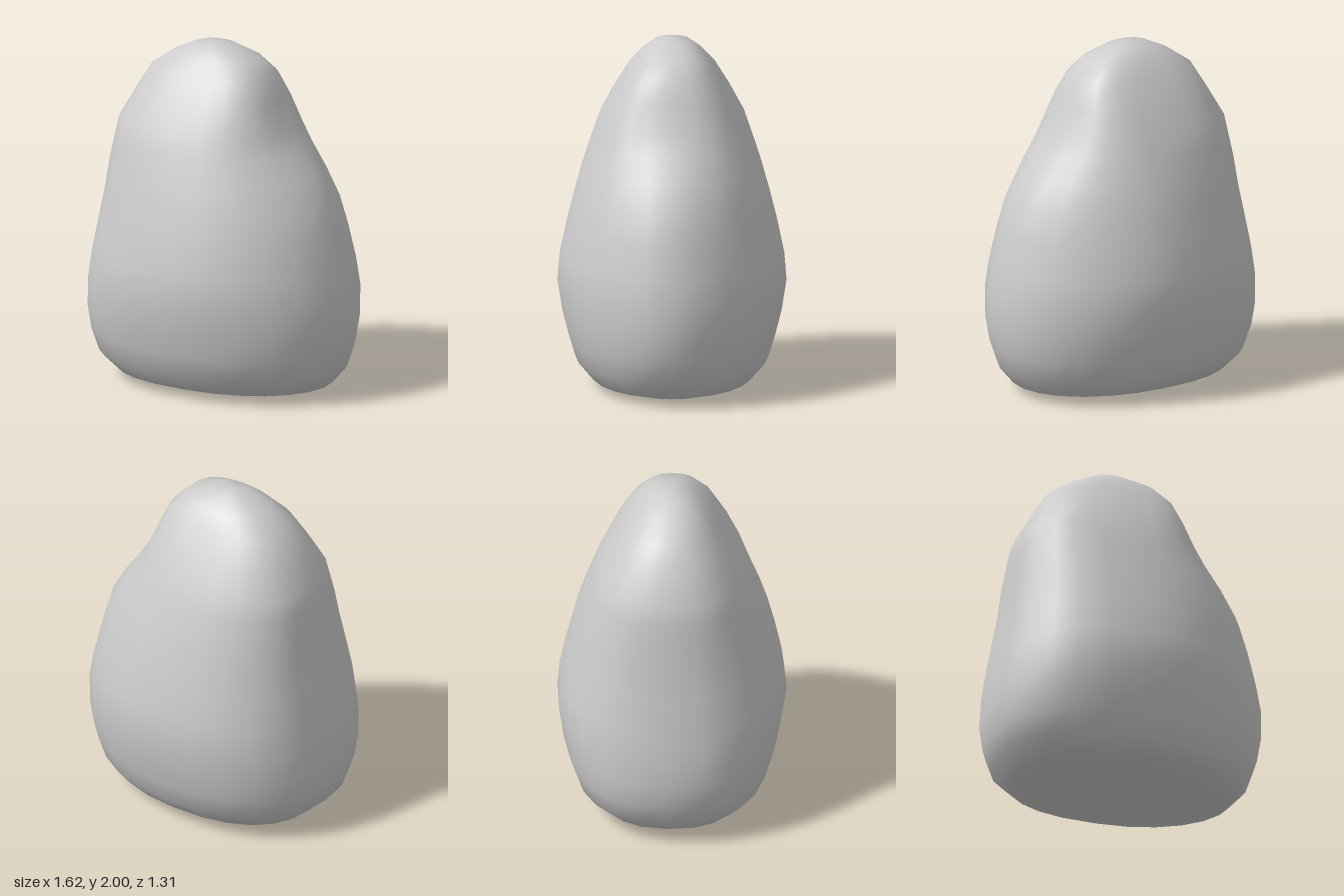
import * as THREE from 'three';

// Cross-sections from base to crown: y, left-most x, right-most x, half depth, roundness at -x, roundness at +x
const SECTIONS = [
  [0.005, -0.30, 0.33, 0.18, 2.4, 2.2],
  [0.015, -0.47, 0.52, 0.29, 2.4, 2.2],
  [0.05, -0.65, 0.65, 0.46, 2.4, 2.1],
  [0.15, -0.755, 0.74, 0.55, 2.4, 2.0],
  [0.28, -0.80, 0.785, 0.59, 2.4, 2.0],
  [0.42, -0.815, 0.81, 0.625, 2.4, 1.95],
  [0.60, -0.80, 0.81, 0.653, 2.4, 1.9],
  [0.76, -0.775, 0.78, 0.64, 2.4, 1.9],
  [0.95, -0.74, 0.735, 0.60, 2.4, 1.9],
  [1.12, -0.71, 0.685, 0.557, 2.4, 1.9],
  [1.28, -0.69, 0.59, 0.51, 2.4, 2.0],
  [1.42, -0.665, 0.485, 0.46, 2.4, 2.2],
  [1.53, -0.645, 0.41, 0.42, 2.4, 2.5],
  [1.69, -0.555, 0.34, 0.335, 2.4, 2.8],
  [1.83, -0.47, 0.28, 0.25, 2.4, 2.8],
  [1.92, -0.34, 0.19, 0.175, 2.3, 2.6],
  [1.98, -0.21, 0.04, 0.10, 2.2, 2.2],
];
const SIDES = 24;

// Lofts superellipse rings into one closed, smooth surface
function loftBoulder() {
  const pos = [0.02, 0, 0];
  const index = [];
  for (const [y, x0, x1, depth, nLeft, nRight] of SECTIONS) {
    const cx = (x0 + x1) / 2;
    const half = (x1 - x0) / 2;
    for (let j = 0; j < SIDES; j++) {
      const a = (j / SIDES) * Math.PI * 2;
      const c = Math.cos(a), s = Math.sin(a);
      const p = 2 / (c > 0 ? nRight : nLeft);
      pos.push(
        cx + half * Math.sign(c) * Math.abs(c) ** p,
        y,
        depth * Math.sign(s) * Math.abs(s) ** p,
      );
    }
  }
  const top = pos.length / 3;
  pos.push(-0.08, 2, 0);

  const rings = SECTIONS.length;
  const at = (i, j) => 1 + i * SIDES + (j % SIDES);
  for (let j = 0; j < SIDES; j++) {
    index.push(0, at(0, j), at(0, j + 1));
    for (let i = 0; i < rings - 1; i++) {
      index.push(at(i, j), at(i + 1, j), at(i, j + 1));
      index.push(at(i, j + 1), at(i + 1, j), at(i + 1, j + 1));
    }
    index.push(at(rings - 1, j), top, at(rings - 1, j + 1));
  }

  const geo = new THREE.BufferGeometry();
  geo.setAttribute('position', new THREE.Float32BufferAttribute(pos, 3));
  geo.setIndex(index);
  geo.computeVertexNormals();
  return geo;
}

export function createModel() {
  const group = new THREE.Group();
  group.name = 'rock';
  const boulder = new THREE.Mesh(
    loftBoulder(),
    new THREE.MeshStandardMaterial({ color: 0xcccccc }),
  );
  boulder.name = 'boulder';
  group.add(boulder);
  return group;
}
